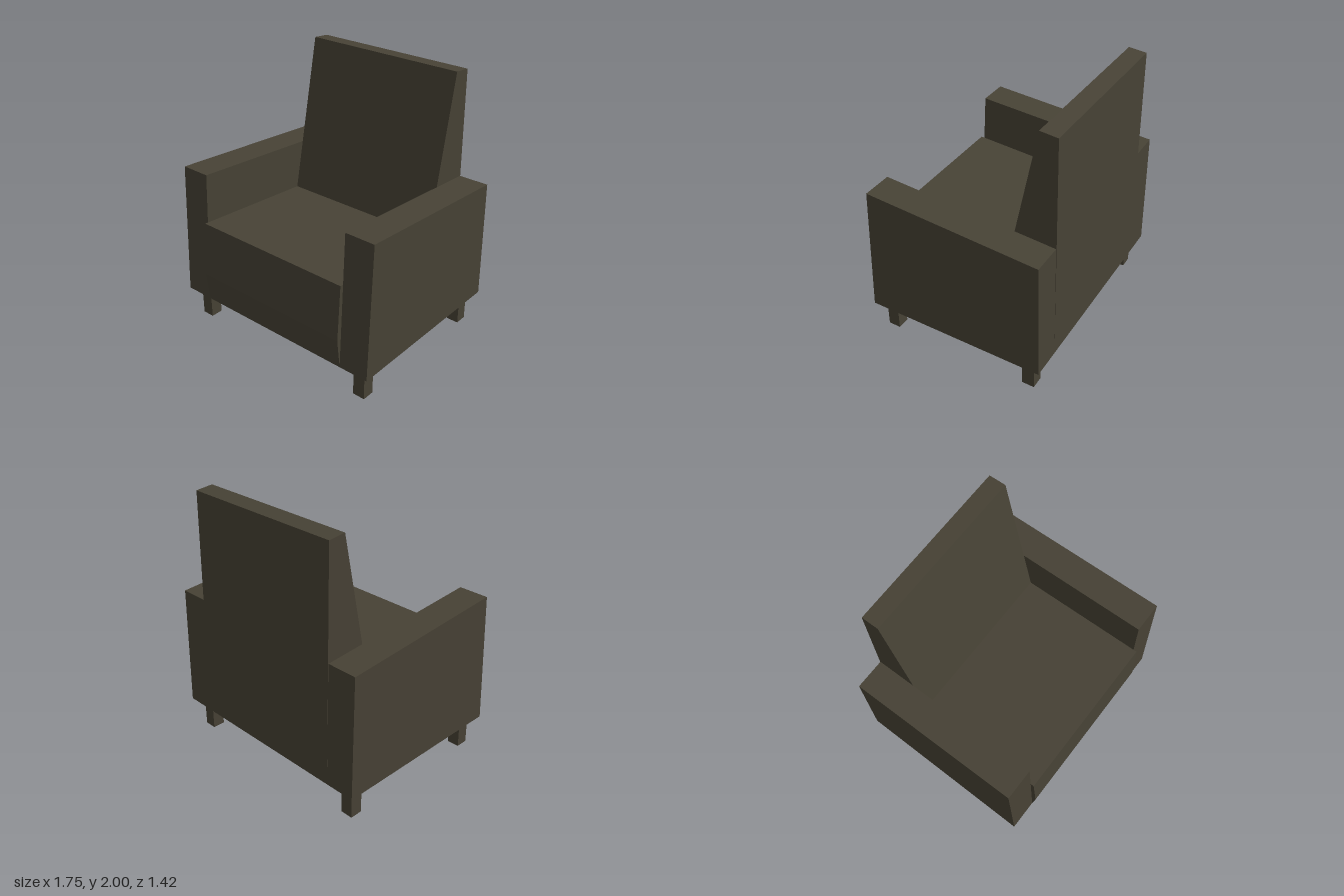
import * as THREE from 'three';

export function createModel() {
  const group = new THREE.Group();
  group.name = 'armchair';
  const upholstery = new THREE.MeshStandardMaterial({ color: 0x474235 });
  upholstery.name = 'dark olive upholstery';

  // Side profile of [z, y] points, extruded across from x0 to x1
  function slab(name, points, x0, x1) {
    const shape = new THREE.Shape(points.map(([z, y]) => new THREE.Vector2(z, y)));
    const geometry = new THREE.ExtrudeGeometry(shape, { depth: x1 - x0, bevelEnabled: false });
    geometry.rotateY(-Math.PI / 2).translate(x1, 0, 0);
    const mesh = new THREE.Mesh(geometry, upholstery);
    mesh.name = name;
    group.add(mesh);
  }

  // Seat and reclined backrest in one profile
  slab('seatAndBackrest', [
    [0.69, 0.23], [0.715, 0.46], [0.685, 0.88], [-0.31, 0.81],
    [-0.55, 2.0], [-0.683, 1.988], [-0.71, 0.23],
  ], -0.643, 0.643);

  // Armrests, sloping gently down to the back
  const arm = [[0.69, 0.23], [0.64, 1.255], [-0.692, 1.163], [-0.71, 0.23]];
  slab('leftArm', arm, 0.643, 0.875);
  slab('rightArm', arm, -0.875, -0.643);

  // Four square legs
  const legGeometry = new THREE.BoxGeometry(0.095, 0.23, 0.095);
  for (const [side, x] of [['Left', 0.76], ['Right', -0.76]]) {
    for (const [end, z] of [['front', 0.578], ['back', -0.593]]) {
      const leg = new THREE.Mesh(legGeometry, upholstery);
      leg.name = `${end}${side}Leg`;
      leg.position.set(x, 0.115, z);
      group.add(leg);
    }
  }
  return group;
}
